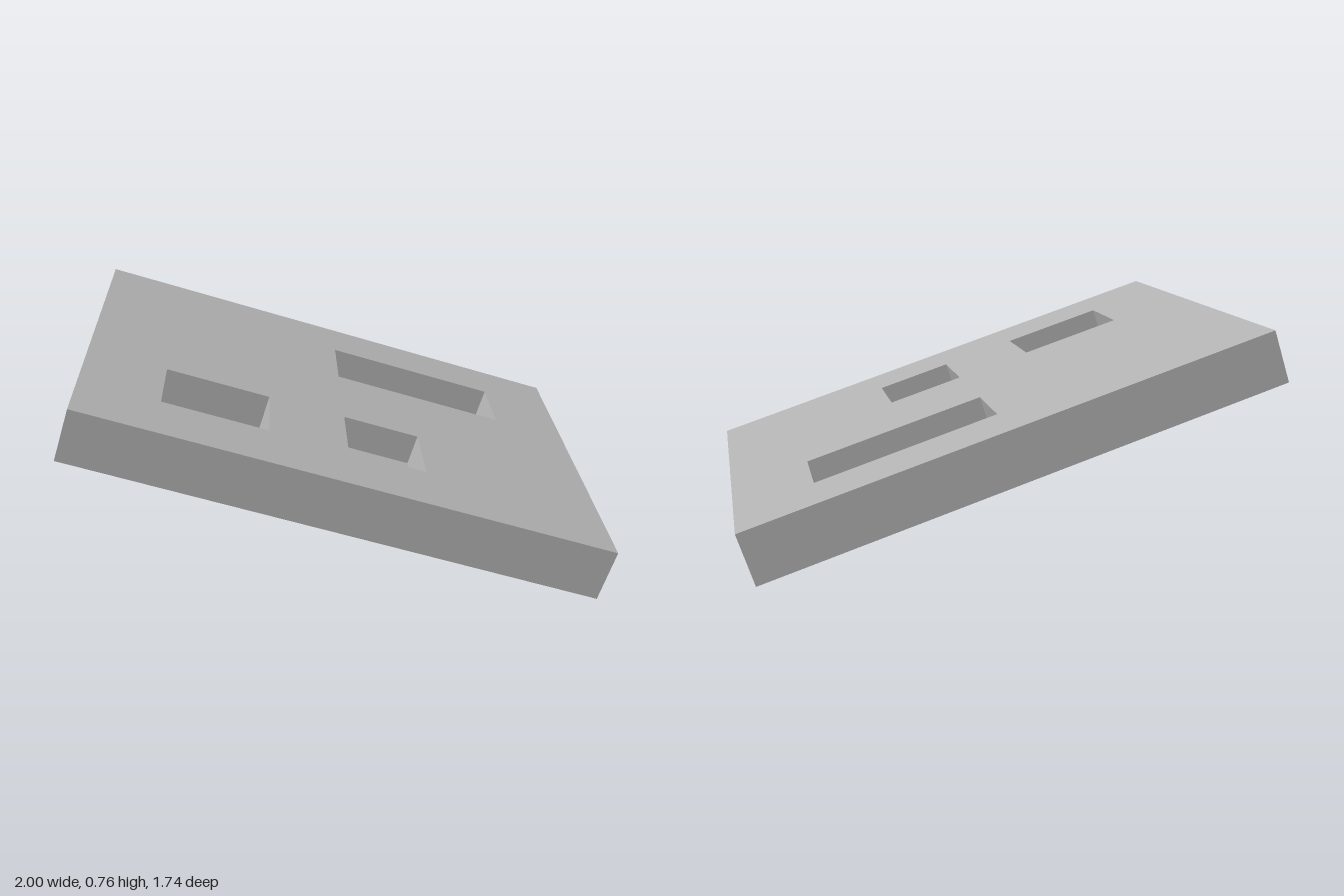
import * as THREE from 'three';

// Plate measured in modules: 20 x 15 x 2
const UNIT = 0.087, W = 20, D = 15, T = 2, POCKET_DEPTH = 1.2;

// Rectangular openings [left, back, right, front], from the back left corner
const longSlot = [10, 2.42, 17, 5.42];
const squareHole = [3, 9.46, 7, 12.46];
const pocket = [10, 9.43, 13, 12.46];

function trace(path, [l, b, r, f]) {
  const x0 = l - W / 2, x1 = r - W / 2, y0 = D / 2 - f, y1 = D / 2 - b;
  path.moveTo(x0, y0);
  path.lineTo(x1, y0);
  path.lineTo(x1, y1);
  path.lineTo(x0, y1);
  path.closePath();
  return path;
}

export function createModel() {
  const model = new THREE.Group();
  model.name = 'tiltedPlate';
  const grey = new THREE.MeshStandardMaterial({ color: 0xb2b2b2 });
  grey.name = 'grey';

  // Slab with its three openings cut through
  const outline = trace(new THREE.Shape(), [0, 0, W, D]);
  for (const hole of [longSlot, squareHole, pocket]) outline.holes.push(trace(new THREE.Path(), hole));
  const slabGeometry = new THREE.ExtrudeGeometry(outline, { depth: T, bevelEnabled: false });
  slabGeometry.translate(0, 0, -T / 2);
  const slab = new THREE.Mesh(slabGeometry, grey);
  slab.name = 'slab';

  // Floor block that closes the bottom of the blind pocket
  const [l, b, r, f] = pocket, floorHeight = T - POCKET_DEPTH;
  const floor = new THREE.Mesh(new THREE.BoxGeometry(r - l, f - b, floorHeight), grey);
  floor.position.set((l + r - W) / 2, (D - b - f) / 2, (floorHeight - T) / 2);
  floor.name = 'pocketFloor';

  // Tilt and turn the plate: long edge, short edge, then the normal
  const along = new THREE.Vector3(1.59, -0.525, -0.475).normalize();
  const back = new THREE.Vector3(-0.35, 0.065, -1.25);
  const normal = new THREE.Vector3().crossVectors(along, back).normalize();
  back.crossVectors(normal, along);
  const plate = new THREE.Group();
  plate.name = 'plate';
  plate.add(slab, floor);
  plate.quaternion.setFromRotationMatrix(new THREE.Matrix4().makeBasis(along, back, normal));
  plate.scale.setScalar(UNIT);
  plate.position.y = 0.38;
  model.add(plate);
  return model;
}
